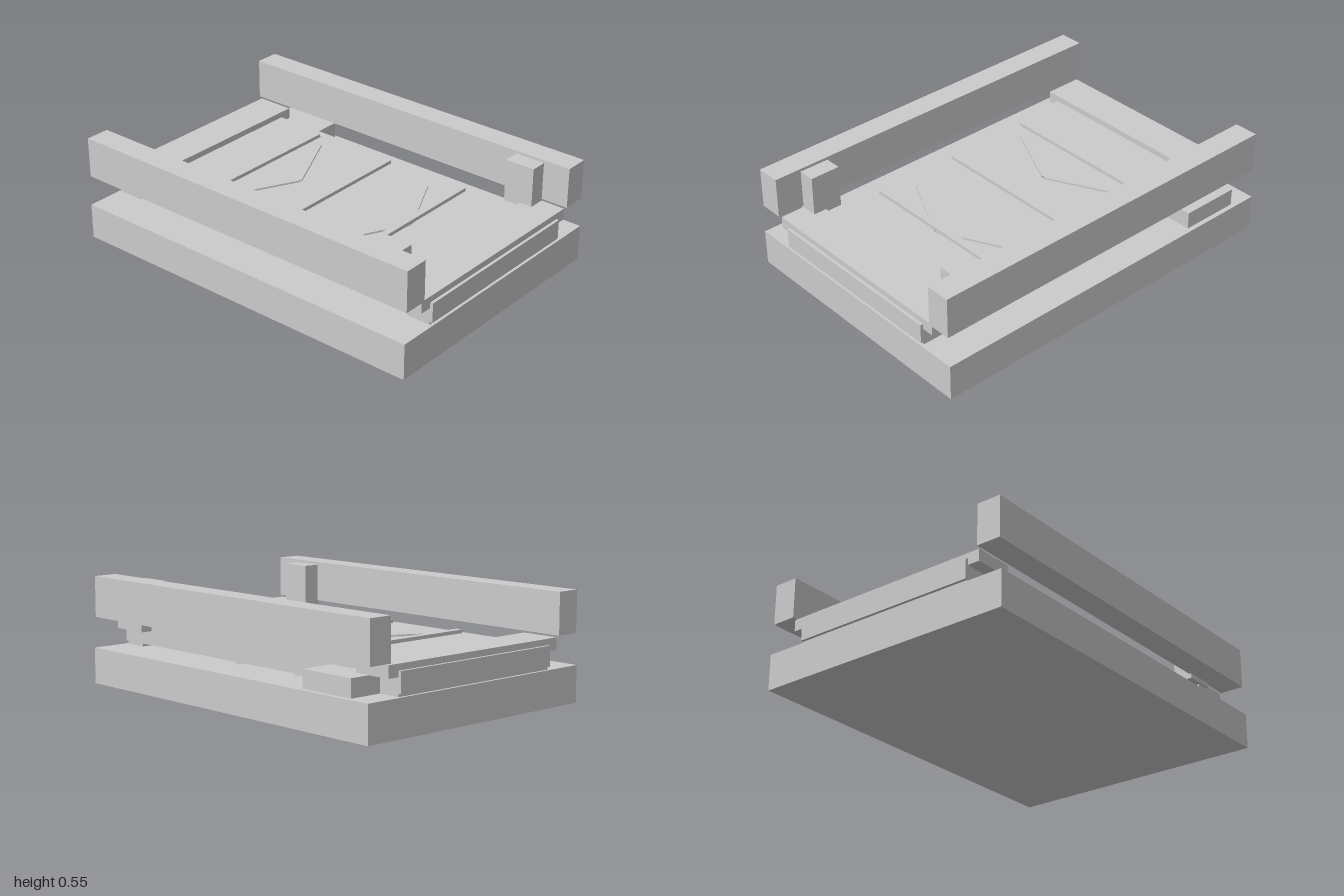
import * as THREE from 'three';

const material = new THREE.MeshStandardMaterial({ color: 0xcccccc, flatShading: true });

export function createModel() {
  const model = new THREE.Group();

  // Box given by its low and high limits on each axis
  function box(name, [x0, x1], [y0, y1], [z0, z1]) {
    const mesh = new THREE.Mesh(new THREE.BoxGeometry(x1 - x0, y1 - y0, z1 - z0), material);
    mesh.position.set((x0 + x1) / 2, (y0 + y1) / 2, (z0 + z1) / 2);
    mesh.name = name;
    model.add(mesh);
    return mesh;
  }

  // Base slab and raised deck
  box('base', [-0.7, 0.7], [0, 0.185], [-1, 1]);
  box('deck', [-0.5, 0.5], [0.2, 0.302], [-1, 1]);

  // Cross plates at both ends, with the spacers under the deck
  for (const [end, sign] of [['front', 1], ['back', -1]]) {
    const span = (a, b) => (sign > 0 ? [a, b] : [-b, -a]);
    box(end + 'CrossPlate', [-0.563, 0.563], [0.273, 0.333], span(0.785, 0.985));
    box(end + 'Spacer', [-0.5, 0.5], [0.185, 0.2], span(0.86, 0.985));
  }

  // Side rails and the posts that carry them
  for (const [side, sign] of [['left', 1], ['right', -1]]) {
    const span = (a, b) => (sign > 0 ? [a, b] : [-b, -a]);
    box(side + 'Rail', span(0.563, 0.69), [0.342, 0.552], [-1, 1]);
    box(side + 'Post', span(0.475, 0.575), [0.317, 0.537], [0.695, 0.855]);
  }

  // Side housing, on the left only
  box('sideHousing', [0.5, 0.675], [0.185, 0.275], [-0.87, -0.555]);

  // Slats across the deck
  for (const z of [-0.475, 0, 0.47]) {
    box('slat', [-0.437, 0.437], [0.31, 0.328], [z - 0.019, z + 0.019]);
  }

  // Chevrons pointing forward, two arms each
  for (const z of [-0.315, 0.385]) {
    for (const sign of [1, -1]) {
      const arm = box('chevronArm', [-0.2, 0.2], [0.304, 0.313], [-0.02, 0.02]);
      arm.position.x = sign * 0.177;
      arm.position.z = z;
      arm.rotation.y = sign * 0.464;
    }
  }

  // Rollers sunk into the base under the deck
  for (const z of [0.13, -0.295]) {
    const roller = new THREE.Mesh(new THREE.CylinderGeometry(0.035, 0.035, 0.95, 20), material);
    roller.name = 'roller';
    roller.rotation.z = Math.PI / 2;
    roller.position.set(0, 0.16, z);
    model.add(roller);
  }

  return model;
}
